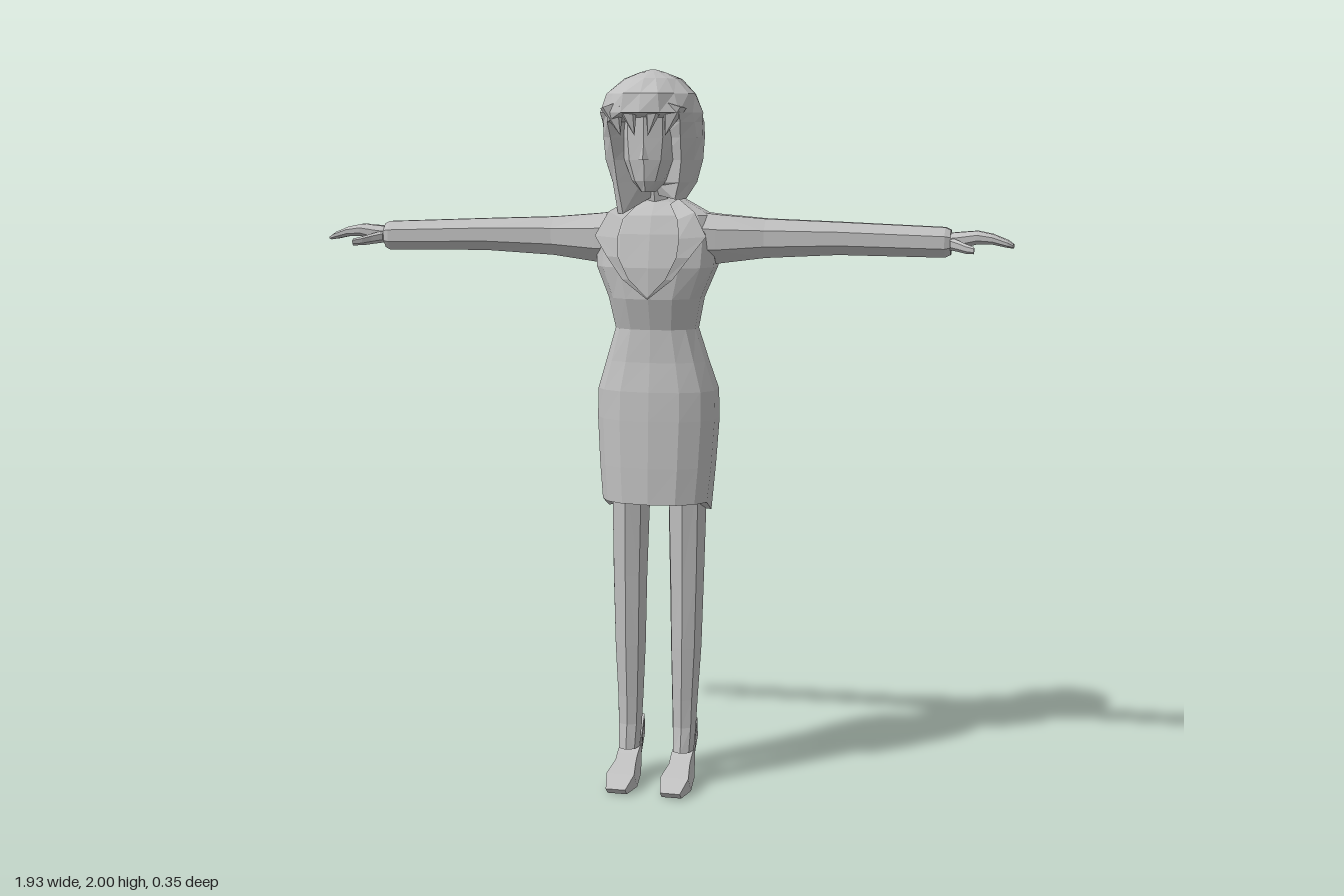
import * as THREE from 'three';

const grey = new THREE.MeshStandardMaterial({ color: 0xc0c0c0, flatShading: true });
grey.name = 'plain grey';
const greyThin = grey.clone();
greyThin.side = THREE.DoubleSide;

// Skins a list of equal-length point rings and closes both ends.
function loft(rings) {
  const n = rings[0].length, pos = [], idx = [];
  rings.forEach(r => r.forEach(p => pos.push(...p)));
  for (let i = 0; i < rings.length - 1; i++)
    for (let j = 0; j < n; j++) {
      const k = (j + 1) % n, a = i * n + j, b = i * n + k;
      idx.push(a, b, b + n, a, b + n, a + n);
    }
  [0, rings.length - 1].forEach(i => {
    const c = pos.length / 3;
    pos.push(...[0, 1, 2].map(d => rings[i].reduce((s, p) => s + p[d], 0) / n));
    for (let j = 0; j < n; j++) {
      const a = i * n + j, b = i * n + (j + 1) % n;
      if (i === 0) idx.push(c, b, a); else idx.push(c, a, b);
    }
  });
  return finish(pos, idx);
}

function finish(pos, idx) {
  const g = new THREE.BufferGeometry();
  g.setAttribute('position', new THREE.Float32BufferAttribute(pos, 3));
  g.setIndex(idx);
  g.computeVertexNormals();
  return g;
}

const soft = (v, e) => Math.sign(v) * Math.abs(v) ** e;

// Horizontal ring: height, half width, front z, back z, centre x.
function ringY([y, rx, zf, zb, cx = 0], n, e = 0.85) {
  return Array.from({ length: n }, (_, j) => {
    const a = j / n * Math.PI * 2;
    return [cx + rx * soft(Math.sin(a), e), y, (zf + zb) / 2 + (zf - zb) / 2 * soft(Math.cos(a), e)];
  });
}

// Ring across the arm: x, centre y, half height, centre z, half depth.
function ringX([x, cy, ry, cz, rz], n) {
  return Array.from({ length: n }, (_, j) => {
    const a = (j + 0.5) / n * Math.PI * 2;
    return [x, cy - ry * Math.sin(a) * 1.06, cz + rz * Math.cos(a) * 1.06];
  });
}

// Mirrors a geometry across x and keeps its faces outward.
function mirror(geo) {
  const g = geo.clone().scale(-1, 1, 1);
  const ix = g.index.array;
  for (let i = 0; i < ix.length; i += 3) [ix[i], ix[i + 1]] = [ix[i + 1], ix[i]];
  g.computeVertexNormals();
  return g;
}

export function createModel() {
  const model = new THREE.Group();
  const add = (name, geo, mat = grey) => {
    const m = new THREE.Mesh(geo, mat);
    m.name = name;
    model.add(m);
    return m;
  };
  const addPair = (name, geo, mat) => {
    add(name + 'Left', geo, mat);
    add(name + 'Right', mirror(geo), mat);
  };

  // Dress, with the hem dipping at the back
  const dress = [
    [0.805, 0.152, 0.085, -0.14], [0.92, 0.162, 0.083, -0.16], [1.05, 0.17, 0.078, -0.172],
    [1.13, 0.168, 0.073, -0.165], [1.21, 0.143, 0.06, -0.132], [1.3, 0.115, 0.055, -0.115],
    [1.385, 0.132, 0.08, -0.125], [1.47, 0.168, 0.08, -0.14], [1.56, 0.172, 0.06, -0.15],
    [1.61, 0.15, 0.04, -0.145], [1.645, 0.085, 0.005, -0.125], [1.665, 0.05, -0.01, -0.1],
  ].map(s => ringY(s, 14));
  dress[0].forEach(p => { p[1] += p[2] > 0 ? 0.015 : -0.015; });
  add('dress', loft(dress));

  // Neck
  add('neck', loft([[1.62, 0.05, 0.0, -0.1], [1.68, 0.042, 0.01, -0.08], [1.78, 0.042, 0.04, -0.06]]
    .map(s => ringY(s, 8))));

  // Lapels framing the neckline
  const outer = [[0.065, 1.655, -0.005], [0.12, 1.62, 0.04], [0.155, 1.555, 0.055], [0.115, 1.5, 0.08], [0.07, 1.44, 0.09], [0, 1.385, 0.088]];
  const inner = [[0.045, 1.64, 0.01], [0.075, 1.6, 0.055], [0.085, 1.55, 0.078], [0.08, 1.5, 0.09], [0.05, 1.44, 0.094], [0, 1.39, 0.09]];
  const lapelIdx = [];
  for (let i = 0; i < 5; i++) lapelIdx.push(i, i + 6, i + 7, i, i + 7, i + 1);
  addPair('lapel', finish([...outer, ...inner].flat(), lapelIdx), greyThin);

  // Sleeves and cuffs
  addPair('sleeve', loft([
    [0.07, 1.55, 0.075, -0.055, 0.085], [0.17, 1.545, 0.068, -0.055, 0.07], [0.3, 1.548, 0.054, -0.057, 0.047],
    [0.5, 1.55, 0.045, -0.057, 0.042], [0.785, 1.543, 0.041, -0.055, 0.037], [0.8, 1.543, 0.034, -0.055, 0.03],
  ].map(s => ringX(s, 8))));

  // Hands, slightly cupped, with curved thumbs
  addPair('hand', loft([
    [0.78, 1.543, 0.024, -0.055, 0.026], [0.82, 1.548, 0.023, -0.055, 0.033], [0.87, 1.557, 0.018, -0.055, 0.037],
    [0.91, 1.553, 0.014, -0.055, 0.037], [0.95, 1.541, 0.01, -0.055, 0.035], [0.965, 1.535, 0.006, -0.055, 0.027],
  ].map(s => ringX(s, 8))));
  addPair('thumb', loft([
    [0.8, 1.54, 0.016, -0.035, 0.018], [0.825, 1.535, 0.014, -0.01, 0.014],
    [0.845, 1.53, 0.012, 0.012, 0.012], [0.868, 1.527, 0.009, 0.032, 0.008],
  ].map(s => ringX(s, 6))));

  // Legs
  addPair('leg', loft([
    [0.1, 0.03, 0.025, -0.065, 0.079], [0.17, 0.034, 0.012, -0.07, 0.079], [0.25, 0.037, 0.012, -0.083, 0.079],
    [0.4, 0.044, 0.015, -0.1, 0.081], [0.6, 0.049, 0.015, -0.105, 0.082], [0.88, 0.056, 0.018, -0.13, 0.081],
  ].map(s => ringY(s, 8))));

  // High-heeled shoes: side profile as (z, y), narrowed at toe and heel
  const profile = [[0.145, 0.022], [0.125, 0.004], [0.055, 0.004], [0.01, 0.03], [-0.04, 0.095], [-0.062, 0.085],
    [-0.068, 0.012], [-0.086, 0.012], [-0.095, 0.12], [-0.088, 0.175], [-0.065, 0.15], [-0.02, 0.1],
    [0.01, 0.085], [0.03, 0.07], [0.09, 0.05]];
  for (const side of [1, -1]) {
    const shape = new THREE.Shape(profile.map(([z, y]) => new THREE.Vector2(z, y)));
    const g = new THREE.ExtrudeGeometry(shape, { depth: 0.08, bevelEnabled: false });
    g.translate(0, 0, -0.04).rotateY(-Math.PI / 2);
    const p = g.attributes.position;
    for (let i = 0; i < p.count; i++) {
      const z = p.getZ(i), y = p.getY(i);
      const w = z > 0.1 ? 0.7 : z < -0.055 ? (y < 0.05 ? 0.25 : 0.65) : y > 0.06 ? 0.75 : 1;
      p.setX(i, p.getX(i) * w + side * 0.078);
    }
    g.computeVertexNormals();
    add(side > 0 ? 'shoeLeft' : 'shoeRight', g);
  }

  // Face with a pointed chin, and a small nose
  add('face', loft([
    [1.675, 0.018, 0.108, 0.03], [1.705, 0.046, 0.12, 0.0], [1.76, 0.07, 0.126, -0.04],
    [1.82, 0.078, 0.125, -0.05], [1.91, 0.075, 0.125, -0.05],
  ].map(s => ringY(s, 10, 0.9))));
  const nose = new THREE.ConeGeometry(0.014, 0.05, 4);
  nose.translate(0, 1.785, 0.125);
  add('nose', nose);

  // Bobbed hair: the lower front is set back around the face, the side locks hang lower
  const n = 16;
  const hair = [
    [1.67, 0.085, 0.07, -0.085], [1.7, 0.118, 0.11, -0.105], [1.76, 0.132, 0.125, -0.12], [1.82, 0.138, 0.15, -0.135],
    [1.86, 0.138, 0.165, -0.122], [1.885, 0.138, 0.18, -0.116], [1.935, 0.12, 0.168, -0.1], [1.975, 0.078, 0.12, -0.07],
    [1.992, 0.035, 0.07, -0.025], [2.0, 0.008, 0.03, 0.01],
  ].map((s, i) => ringY(s, n, 1).map(([x, y, z], j) => {
    const front = Math.min(j, n - j);
    if (i < 5 && front < 2) return [x * 0.6, y + (i === 0 ? 0.02 : 0), z * 0.4];
    const k = i < 8 ? 1 + 0.025 * Math.sin(j * 2.7 + i * 1.9) : 1;
    const drop = i === 0 && front < 4 ? (x < 0 ? 0.055 : 0.015) : 0;
    return [x * k * (drop ? 1.2 : 1), y - drop, z * k + (drop ? 0.02 : 0)];
  }));
  add('hair', loft(hair));

  // Fringe locks over the forehead
  [[-0.075, 0.035, 0.13, 0.3], [-0.03, 0.03, 0.148, 0.25], [0.025, 0.028, 0.148, -0.2], [0.072, 0.035, 0.13, -0.3]]
    .forEach(([x, r, z, tilt], i) => {
      const g = new THREE.ConeGeometry(r, 0.085, 5);
      g.scale(1, 1, 0.55).rotateX(Math.PI).rotateZ(tilt).translate(x, 1.865, z);
      add('fringe' + (i + 1), g);
    });

  return model;
}
